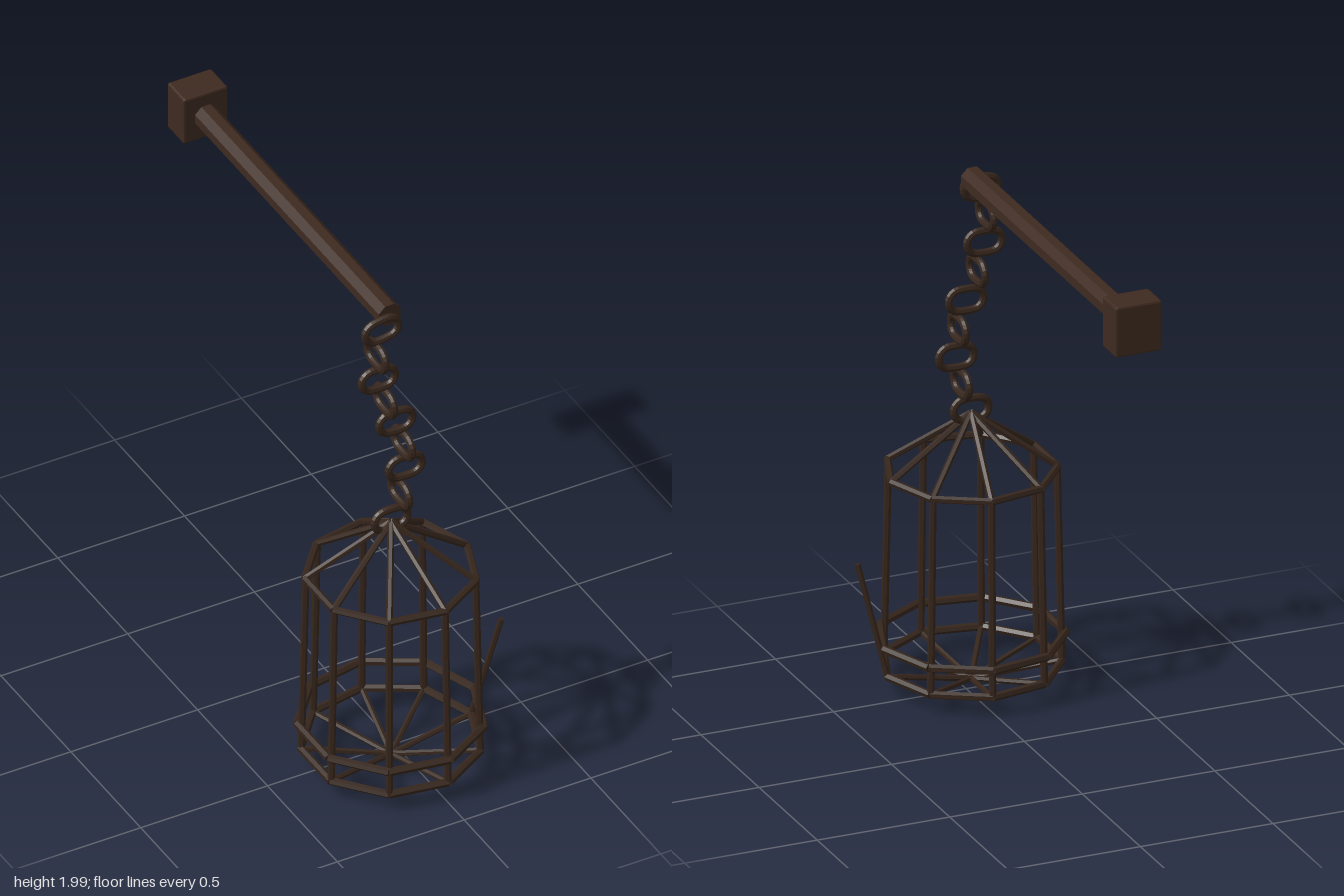
import * as THREE from 'three';
import { RoundedBoxGeometry } from 'three/addons/geometries/RoundedBoxGeometry.js';

export function createModel() {
  const model = new THREE.Group();
  model.name = 'hangingCage';
  const bracketIron = new THREE.MeshStandardMaterial({ color: 0x3e2a20, flatShading: true });
  bracketIron.name = 'bracketBrown';
  const cageIron = new THREE.MeshStandardMaterial({ color: 0x36261c, flatShading: true });
  cageIron.name = 'cageBrown';

  const CX = -0.043, CZ = 0.555, SIDES = 9;

  function add(parent, name, geometry, material) {
    const mesh = new THREE.Mesh(geometry, material);
    mesh.name = name;
    parent.add(mesh);
    return mesh;
  }

  // Straight rod between two points
  function rod(parent, name, a, b, radius) {
    const dir = b.clone().sub(a);
    const mesh = add(parent, name, new THREE.CylinderGeometry(radius, radius, dir.length(), 6), cageIron);
    mesh.position.copy(a).add(b).multiplyScalar(0.5);
    mesh.quaternion.setFromUnitVectors(new THREE.Vector3(0, 1, 0), dir.normalize());
    return mesh;
  }

  // Wall block and octagonal arm
  const block = add(model, 'wallBlock', new RoundedBoxGeometry(0.175, 0.19, 0.12, 1, 0.008), bracketIron);
  block.position.set(CX, 1.905, -0.83);
  const armGeometry = new THREE.CylinderGeometry(0.046, 0.046, 1.34, 8);
  armGeometry.rotateY(Math.PI / 8).rotateX(Math.PI / 2);
  add(model, 'arm', armGeometry, bracketIron).position.set(CX, 1.905, -0.125);

  // Chain of oval links, alternately turned a quarter
  const outline = [];
  for (let i = 0; i < 16; i++) {
    const t = ((i + 0.5) / 16) * Math.PI * 2;
    outline.push(new THREE.Vector3(Math.cos(t) * 0.04 + Math.sign(Math.cos(t)) * 0.026, Math.sin(t) * 0.04, 0));
  }
  const linkCurve = new THREE.CatmullRomCurve3(outline, true);
  const linkGeometry = new THREE.TubeGeometry(linkCurve, 28, 0.0145, 8, true);
  const linkX = [-0.08, -0.1, -0.093, -0.066, -0.024, 0.005, 0.013, -0.007, -0.043];
  const chain = new THREE.Group();
  chain.name = 'chain';
  model.add(chain);
  linkX.forEach((x, i) => {
    const link = add(chain, 'chainLink', linkGeometry, cageIron);
    link.position.set(x, 1.862 - i * 0.1035, CZ);
    if (i % 2) link.rotation.y = Math.PI / 2;
    else if (i === 0) link.rotation.z = 0.15;
  });

  // Cage corners; corner 0 points to +x
  const cage = new THREE.Group();
  cage.name = 'cage';
  cage.position.set(CX, 0, CZ);
  model.add(cage);
  const corner = (i, radius, y) => {
    const a = (i / SIDES) * Math.PI * 2;
    return new THREE.Vector3(Math.cos(a) * radius, y, Math.sin(a) * radius);
  };
  const roofTip = new THREE.Vector3(0, 1.02, 0);
  const floorTip = new THREE.Vector3(0, 0.02, 0);
  for (let i = 0; i < SIDES; i++) {
    rod(cage, 'topRing', corner(i, 0.301, 0.81), corner(i + 1, 0.301, 0.81), 0.0135);
    rod(cage, 'middleRing', corner(i, 0.328, 0.185), corner(i + 1, 0.328, 0.185), 0.015);
    rod(cage, 'bottomRing', corner(i, 0.316, 0.08), corner(i + 1, 0.316, 0.08), 0.0145);
    rod(cage, 'roofBar', corner(i, 0.301, 0.81), roofTip, 0.012);
    rod(cage, 'floorBar', corner(i, 0.316, 0.08), floorTip, 0.0105);
    if (i > 0) rod(cage, 'uprightBar', corner(i, 0.314, 0.08), corner(i, 0.298, 0.81), 0.013);
  }

  // Broken upright bent outwards
  rod(cage, 'bentBar', corner(0, 0.316, 0.08), new THREE.Vector3(0.402, 0.495, 0.06), 0.0105);

  return model;
}
